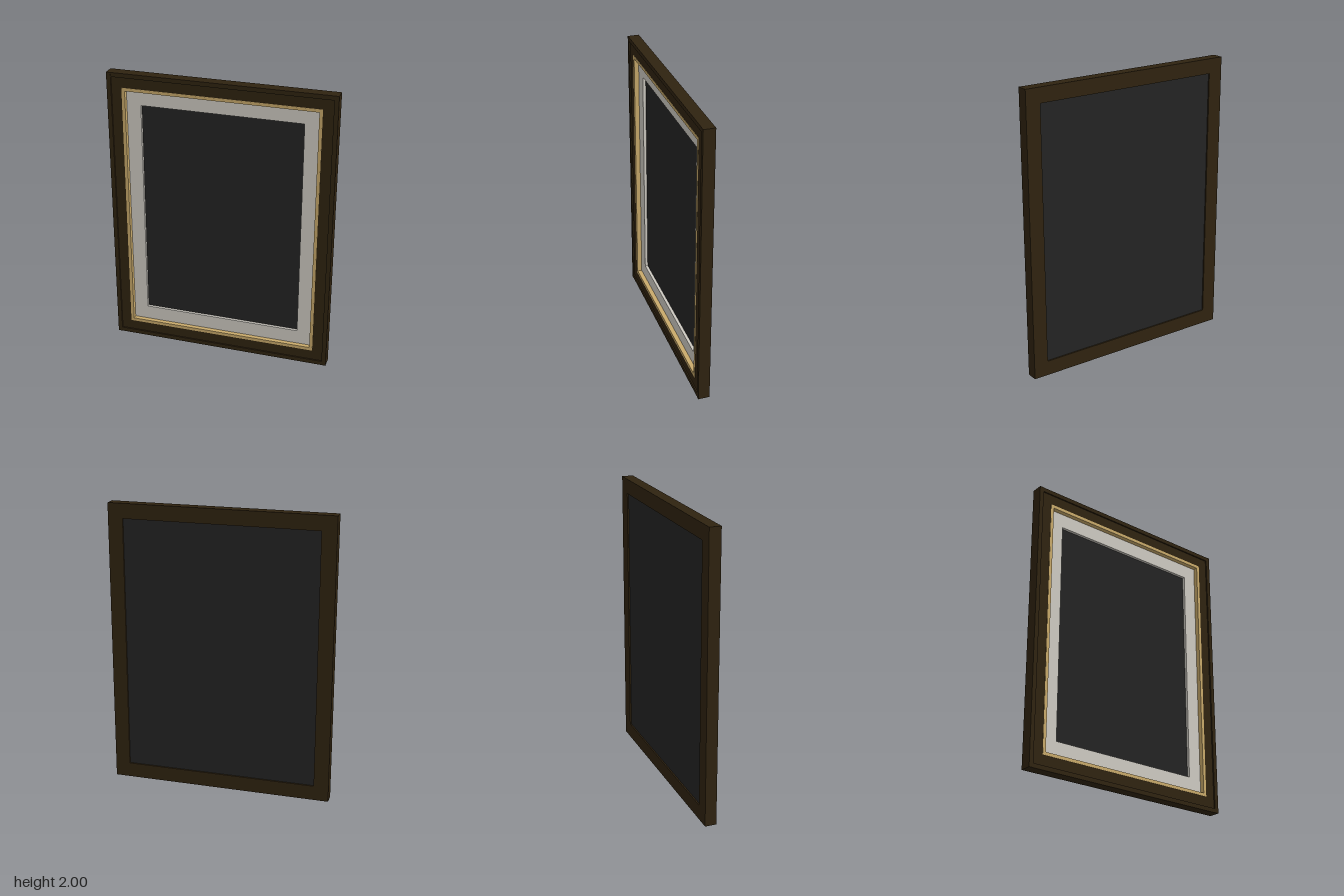
import * as THREE from 'three';

const material = (name, color) => {
  const m = new THREE.MeshStandardMaterial({ color });
  m.name = name;
  return m;
};

export function createModel() {
  const darkWood = material('dark wood', 0x2f2310);
  const gold = material('pale gold', 0xc9aa6b);
  const card = material('off-white card', 0xcecac2);
  const charcoal = material('charcoal', 0x242424);

  const W = 0.78, H = 1, MID = 1;      // half width, half height, centre height
  const INX = 0.676, INY = 0.896;      // half size of the frame opening
  const BACK = -0.04, FACE = 0.03, LIP = 0.04;
  const group = new THREE.Group();
  group.name = 'pictureFrame';

  const add = (name, geometry, mat) => {
    const mesh = new THREE.Mesh(geometry, mat);
    mesh.name = name;
    group.add(mesh);
  };

  // box given by its limits, with y measured from the centre of the frame
  const box = (name, mat, x0, x1, y0, y1, z0, z1) =>
    add(name, new THREE.BoxGeometry(x1 - x0, y1 - y0, z1 - z0)
      .translate((x0 + x1) / 2, MID + (y0 + y1) / 2, (z0 + z1) / 2), mat);

  // flat rectangular ring with an open middle
  const ring = (name, mat, ox, oy, ix, iy, z0, z1) => {
    const corners = (x, y) => [[-x, -y], [x, -y], [x, y], [-x, y]].map(p => new THREE.Vector2(...p));
    const shape = new THREE.Shape(corners(ox, oy));
    shape.holes.push(new THREE.Path(corners(ix, iy).reverse()));
    add(name, new THREE.ExtrudeGeometry(shape, { depth: z1 - z0, bevelEnabled: false })
      .translate(0, MID, z0), mat);
  };

  // frame stiles and rails, each with a raised outer lip
  const EDGE = 0.03;
  for (const [side, s] of [['left', 1], ['right', -1]]) {
    const span = (a, b) => (s > 0 ? [a, b] : [-b, -a]);
    box(side + 'Stile', darkWood, ...span(INX, W), -H, H, BACK, FACE);
    box(side + 'Lip', darkWood, ...span(W - EDGE, W), -H, H, FACE, LIP);
  }
  for (const [side, s] of [['top', 1], ['bottom', -1]]) {
    const span = (a, b) => (s > 0 ? [a, b] : [-b, -a]);
    box(side + 'Rail', darkWood, -INX, INX, ...span(INY, H), BACK, FACE);
    box(side + 'Lip', darkWood, -W + EDGE, W - EDGE, ...span(H - EDGE, H), FACE, LIP - 0.001);
  }

  // gilt inner trim, slightly proud of the wood
  ring('innerTrim', gold, INX + 0.003, INY + 0.003, 0.657, 0.877, 0, FACE + 0.002);

  // card mount around the picture
  ring('mount', card, INX, INY, 0.558, 0.776, -0.02, 0);

  // picture and backing board
  box('pictureBoard', charcoal, -INX, INX, -INY, INY, -0.03, -0.02);

  return group;
}
